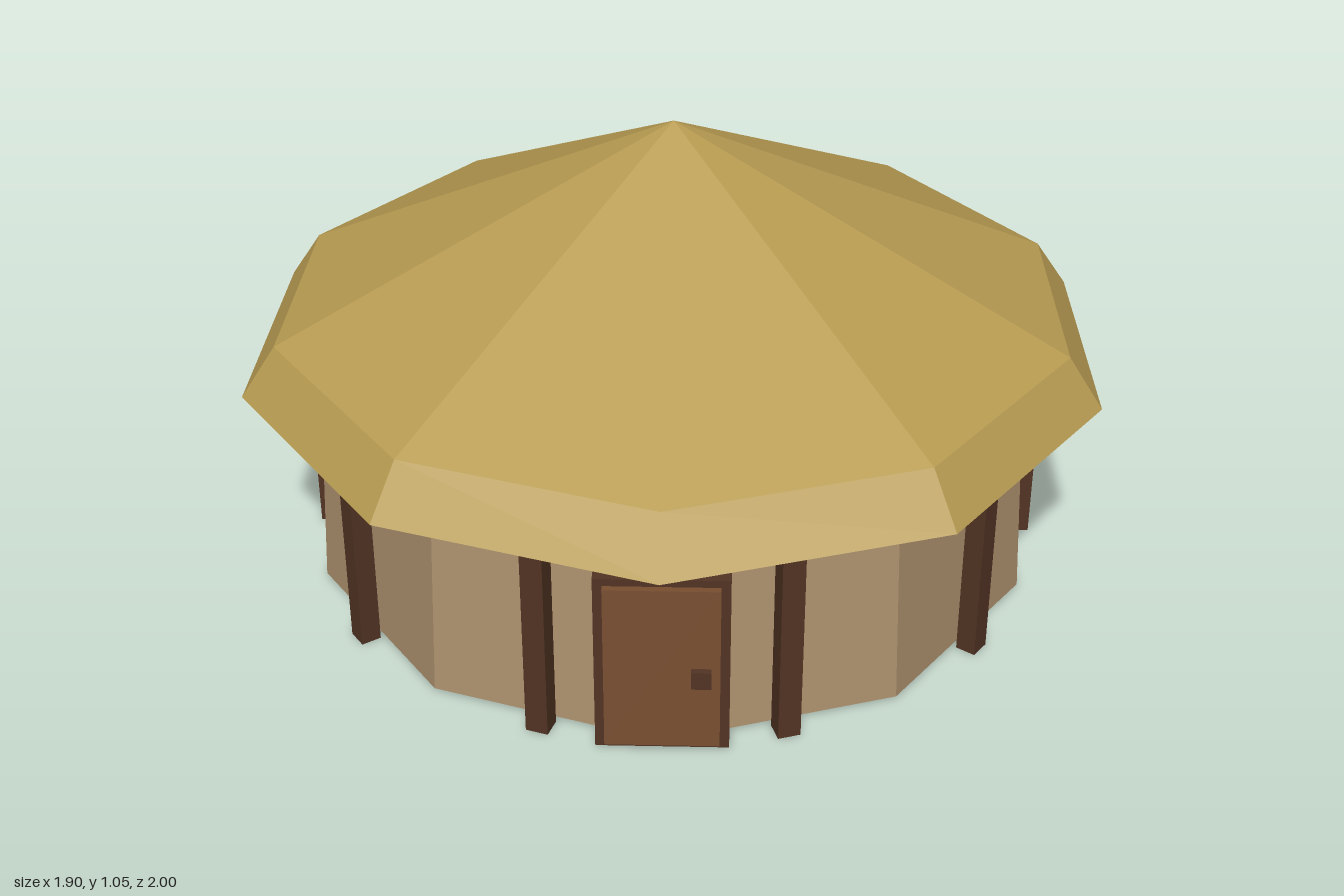
import * as THREE from 'three';

const SIDES = 10;

export function createModel() {
  const hut = new THREE.Group();
  hut.name = 'roundHut';

  const material = (name, color) => {
    const m = new THREE.MeshStandardMaterial({ color });
    m.name = name;
    return m;
  };
  const thatch = material('thatch', 0xb89c52);
  const clay = material('clay', 0xae926f);
  const darkWood = material('darkWood', 0x523424);
  const doorWood = material('doorWood', 0x794f31);

  // Faceted mesh: unshared corners give every face its own normal
  const add = (name, geometry, mat) => {
    const faceted = geometry.index ? geometry.toNonIndexed() : geometry;
    faceted.computeVertexNormals();
    const mesh = new THREE.Mesh(faceted, mat);
    mesh.name = name;
    hut.add(mesh);
    return mesh;
  };

  // Box given by its extents on each axis
  const block = (name, mat, [x0, x1], [y0, y1], [z0, z1]) => {
    const mesh = add(name, new THREE.BoxGeometry(x1 - x0, y1 - y0, z1 - z0), mat);
    mesh.position.set((x0 + x1) / 2, (y0 + y1) / 2, (z0 + z1) / 2);
  };

  // Roof: flat underside, steep eave band, shallow cone
  const roofProfile = [[0, 0.51], [1, 0.51], [0.92, 0.625], [0, 1.055]]
    .map(([r, y]) => new THREE.Vector2(r, y));
  add('roof', new THREE.LatheGeometry(roofProfile, SIDES), thatch);

  // Slightly tapering wall with its floor
  const wall = add('wall', new THREE.CylinderGeometry(0.825, 0.85, 0.503, SIDES), clay);
  wall.position.y = 0.2585;

  // One square post in front of the middle of each wall face
  for (let i = 0; i < SIDES; i++) {
    const angle = ((i + 0.5) / SIDES) * Math.PI * 2;
    const post = add('post', new THREE.BoxGeometry(0.05, 0.512, 0.046), darkWood);
    post.position.set(Math.sin(angle) * 0.84, 0.256, Math.cos(angle) * 0.84);
    post.rotation.y = angle;
  }

  // Door with frame and handle
  block('doorFrame', darkWood, [-0.14, 0.14], [0.005, 0.427], [0.8, 0.865]);
  block('doorPanel', doorWood, [-0.12, 0.12], [0.02, 0.41], [0.85, 0.88]);
  block('doorHandle', darkWood, [0.06, 0.102], [0.178, 0.219], [0.87, 0.895]);

  return hut;
}
